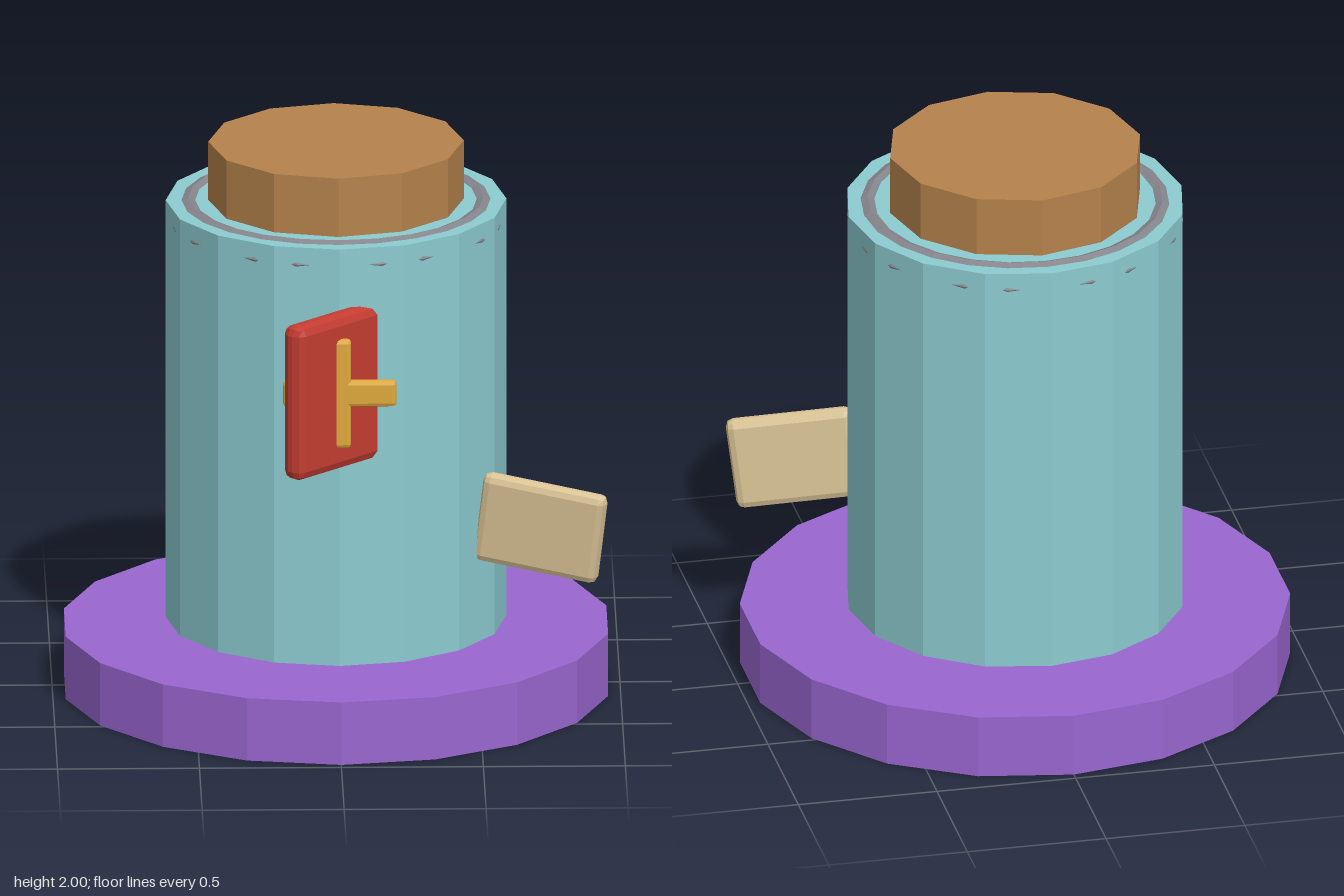
import * as THREE from 'three';
import { RoundedBoxGeometry } from 'three/addons/geometries/RoundedBoxGeometry.js';

const mat = (color) => new THREE.MeshStandardMaterial({ color, flatShading: true });

function addMesh(parent, name, geometry, material, x = 0, y = 0, z = 0) {
  const mesh = new THREE.Mesh(geometry, material);
  mesh.name = name;
  mesh.position.set(x, y, z);
  parent.add(mesh);
  return mesh;
}

// Upright faceted cylinder between two heights
function addDrum(parent, name, radius, y0, y1, sides, color) {
  const geometry = new THREE.CylinderGeometry(radius, radius, y1 - y0, sides);
  return addMesh(parent, name, geometry, mat(color), 0, (y0 + y1) / 2, 0);
}

// Box with a single bevel along every edge
const bevelBox = (w, h, d, bevel) => new RoundedBoxGeometry(w, h, d, 1, bevel);

export function createModel() {
  const model = new THREE.Group();
  model.name = 'bottle';

  // Stand, body and stopper
  addDrum(model, 'base', 0.97, 0, 0.23, 18, 0x9966d0);
  addDrum(model, 'body', 0.6, 0.25, 1.785, 16, 0x8ccbd0);
  addDrum(model, 'stopper', 0.45, 1.7, 2, 12, 0xb5824c);

  // Rim ring, mostly sunk into the top of the body
  const ring = addMesh(model, 'rimRing', new THREE.TorusGeometry(0.52, 0.073, 8, 24), mat(0x85858c), 0, 1.722, 0);
  ring.rotation.x = Math.PI / 2;

  // Red plate set diagonally into the front
  const plate = addMesh(model, 'redPlate', bevelBox(0.56, 0.57, 0.09, 0.035), mat(0xc43c32), 0.02, 1.285, 0.625);
  plate.rotation.y = Math.PI / 4;

  // Yellow cross running through the red plate
  const cross = new THREE.Group();
  cross.name = 'cross';
  cross.position.set(0, 1.287, 0.7);
  const gold = mat(0xe0a83c);
  addMesh(cross, 'crossUpright', bevelBox(0.08, 0.4, 0.04, 0.014), gold);
  addMesh(cross, 'crossBar', bevelBox(0.4, 0.095, 0.04, 0.014), gold);
  model.add(cross);

  // Tilted tag on the left side
  const tag = addMesh(model, 'tag', bevelBox(0.45, 0.335, 0.07, 0.028), mat(0xd8c294), 0.715, 0.685, 0.367);
  const along = new THREE.Vector3(0.42, -0.06, 0.11).normalize();
  const out = along.clone().cross(new THREE.Vector3(0.04, 0.31, 0.035)).normalize();
  const up = out.clone().cross(along);
  tag.quaternion.setFromRotationMatrix(new THREE.Matrix4().makeBasis(along, up, out));

  return model;
}
